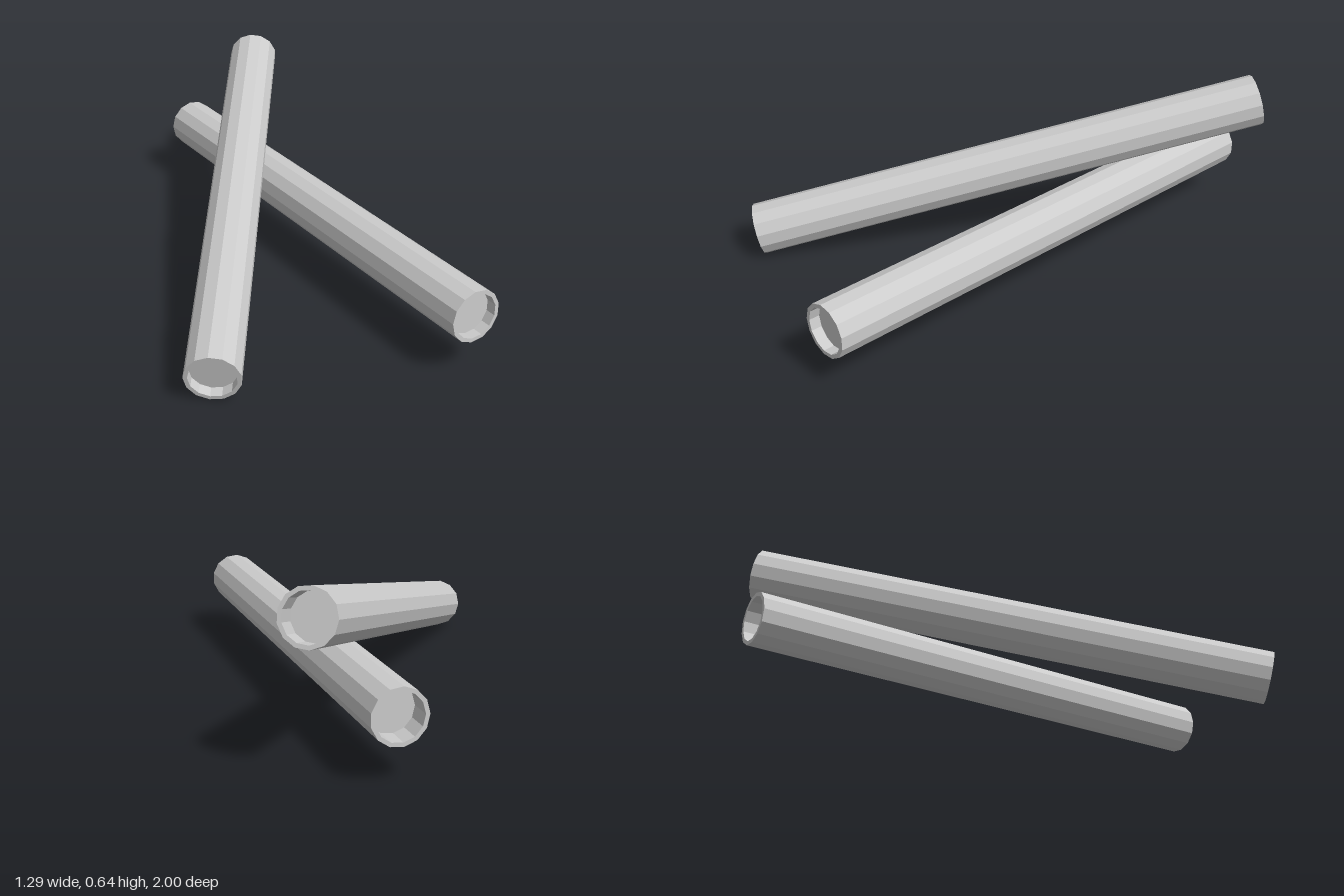
import * as THREE from 'three';

const material = new THREE.MeshStandardMaterial({ color: 0xcccccc, flatShading: true });

// A 13-sided tube along z with a shallow recess in front and a deeper one behind
function tubeGeometry() {
  const outer = 0.1, inner = 0.085, half = 1;
  const profile = [
    [0, -half + 0.09], [inner, -half + 0.09], [inner, -half], [outer, -half],
    [outer, half], [inner, half], [inner, half - 0.04], [0, half - 0.04],
  ].map(([r, y]) => new THREE.Vector2(r, y));
  return new THREE.LatheGeometry(profile, 13, -Math.PI / 2).rotateX(Math.PI / 2);
}

export function createModel() {
  const group = new THREE.Group();
  group.name = 'crossedTubes';
  const geometry = tubeGeometry();

  const addTube = (name, position, pitch, yaw) => {
    const tube = new THREE.Mesh(geometry, material);
    tube.name = name;
    tube.position.set(...position);
    tube.rotation.set(pitch, yaw, 0, 'YXZ');
    group.add(tube);
  };

  // Level tube, and the tilted one lying across it
  addTube('straightTube', [0.295, 0.23, 0], 0, 0);
  addTube('tiltedTube', [-0.004, 0.325, -0.097], 0.224, -0.614);
  return group;
}
